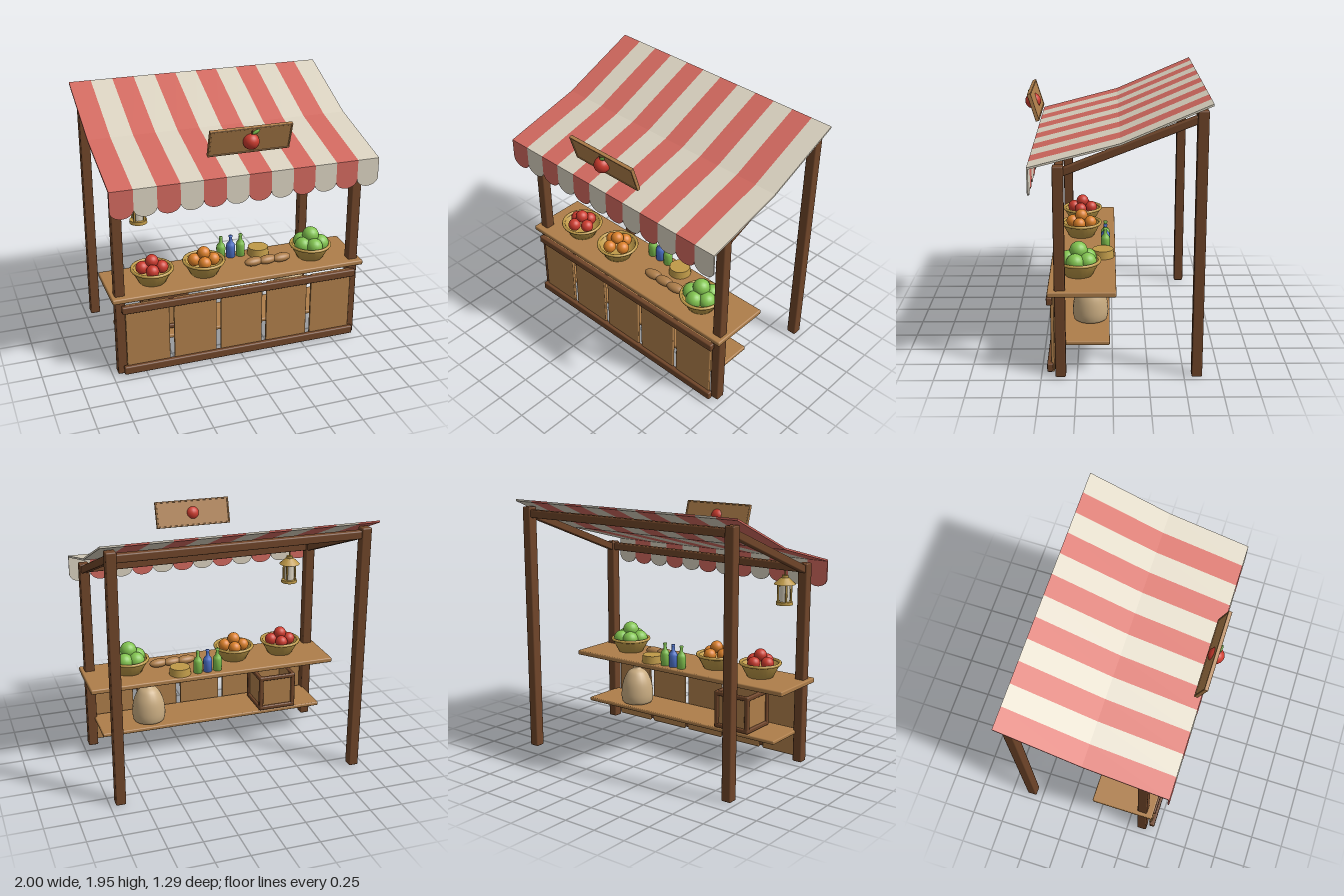
import * as THREE from 'three';
import { RoundedBoxGeometry } from 'three/addons/geometries/RoundedBoxGeometry.js';

const mat = (name, color) => Object.assign(new THREE.MeshStandardMaterial({ color }), { name });

export function createModel() {
  const root = new THREE.Group();
  root.name = 'marketStall';
  const darkWood = mat('darkWood', 0x6f4529);
  const wood = mat('lightWood', 0xae7e4a);
  const clothRed = mat('clothRed', 0xd2695f);
  const cream = mat('cream', 0xdad2c0);
  const red = mat('fruitRed', 0xcc3b2e);
  const orange = mat('orange', 0xdb8029);
  const green = mat('green', 0x82c450);
  const blue = mat('bottleBlue', 0x4f74cc);
  const gold = mat('strawGold', 0xbf9a48);
  const burlap = mat('burlap', 0xc8ab80);

  const add = (name, geo, material, x, y, z, parent = root) => {
    const m = new THREE.Mesh(geo, material);
    m.name = name;
    m.position.set(x, y, z);
    parent.add(m);
    return m;
  };
  const group = (name, x, y, z) => {
    const g = new THREE.Group();
    g.name = name;
    g.position.set(x, y, z);
    root.add(g);
    return g;
  };
  // softly bevelled timber
  const beam = (name, w, h, d, material, x, y, z, parent) =>
    add(name, new RoundedBoxGeometry(w, h, d, 2, Math.min(0.01, Math.min(w, h, d) * 0.3)), material, x, y, z, parent);
  const ball = (r) => new THREE.SphereGeometry(r, 20, 14);
  const lathe = (pts, n = 24) => new THREE.LatheGeometry(pts.map(([r, y]) => new THREE.Vector2(r, y)), n);

  // posts, rafters and cross beams
  for (const s of [-1, 1]) {
    beam('frontPost', 0.075, 1.525, 0.075, darkWood, s * 0.92, 0.768, 0.365);
    beam('backPost', 0.075, 1.895, 0.075, darkWood, s * 0.92, 0.953, -0.59);
    const rafter = beam('rafter', 0.055, 0.055, 0.97, darkWood, s * 0.92, 1.663, -0.11);
    rafter.rotation.x = Math.atan2(0.345, 0.88);
  }
  beam('frontBeam', 1.8, 0.06, 0.055, darkWood, 0, 1.49, 0.365);
  beam('backBeam', 1.8, 0.06, 0.055, darkWood, 0, 1.85, -0.59);

  // striped canopy with a sagging profile, and a scalloped valance
  const N = 12, W = 2 / N, T = 0.014;
  const profile = [[-0.565, 1.522], [0.05, 1.683], [0.65, 1.942]];
  const roofShape = new THREE.Shape([
    ...profile.map(([x, y]) => new THREE.Vector2(x, y)),
    ...profile.slice().reverse().map(([x, y]) => new THREE.Vector2(x, y + T)),
  ]);
  const roofGeo = new THREE.ExtrudeGeometry(roofShape, { depth: W, bevelEnabled: false });
  roofGeo.rotateY(Math.PI / 2);
  const flap = new THREE.Shape();
  flap.moveTo(0, 1.526);
  flap.lineTo(0, 1.39);
  flap.absellipse(W / 2, 1.39, W / 2, 0.062, Math.PI, 2 * Math.PI, false);
  flap.lineTo(W, 1.526);
  const flapGeo = new THREE.ExtrudeGeometry(flap, { depth: 0.01, bevelEnabled: false, curveSegments: 14 });
  for (let i = 0; i < N; i++) {
    const m = i % 2 ? cream : clothRed;
    add('canopyStripe', roofGeo, m, -1 + i * W, 0, 0);
    add('valanceScallop', flapGeo, m, -1 + i * W, 0, 0.555);
  }

  // counter, lower shelf, front boards and rails
  beam('counterTop', 1.97, 0.038, 0.475, wood, 0, 0.636, 0.2125);
  beam('lowerShelf', 1.8, 0.03, 0.36, wood, 0, 0.238, 0.2);
  for (let i = -2; i <= 2; i++)
    beam('frontBoard', 0.33, 0.575, 0.024, wood, i * 0.364, 0.302, 0.422);
  beam('topRail', 1.84, 0.058, 0.042, darkWood, 0, 0.56, 0.44);
  beam('bottomRail', 1.84, 0.064, 0.042, darkWood, 0, 0.058, 0.44);

  // fruit baskets
  const basketGeo = lathe([[0, 0], [0.1, 0], [0.152, 0.1], [0.14, 0.1], [0.095, 0.025], [0, 0.025]]);
  const rimGeo = new THREE.TorusGeometry(0.15, 0.012, 8, 28).rotateX(Math.PI / 2);
  const basket = (name, x, fruit, r, ring, n, turn) => {
    const g = group(name, x, 0.655, 0.24);
    add('bowl', basketGeo, gold, 0, 0, 0, g);
    add('rim', rimGeo, gold, 0, 0.104, 0, g);
    for (let i = 0; i < n; i++) {
      const a = turn + (i / n) * Math.PI * 2;
      add('fruit', ball(r), fruit, ring * Math.cos(a), 0.112, ring * Math.sin(a), g);
    }
    add('topFruit', ball(r), fruit, 0, 0.112 + r * 1.05, 0, g);
  };
  basket('appleBasket', -0.635, red, 0.049, 0.072, 4, 0.2);
  basket('orangeBasket', -0.235, orange, 0.049, 0.072, 4, 0.2);
  basket('greenFruitBasket', 0.63, green, 0.064, 0.078, 5, 0.3);

  // bottles
  const bottleGeo = lathe([[0, 0], [0.034, 0], [0.035, 0.09], [0.03, 0.11], [0.014, 0.13],
    [0.012, 0.165], [0.015, 0.167], [0.015, 0.178], [0, 0.178]], 16);
  [green, blue, green].forEach((m, i) => add('bottle', bottleGeo, m, -0.035 + i * 0.08, 0.655, 0.05));

  // cheese wheel and loaves
  add('cheeseWheel', new THREE.CylinderGeometry(0.078, 0.085, 0.06, 24), gold, 0.265, 0.685, 0.068);
  for (let i = 0; i < 3; i++) {
    const loaf = add('loaf', ball(1), wood, 0.162 + i * 0.112, 0.686, 0.25);
    loaf.scale.set(0.078, 0.033, 0.042);
    loaf.rotation.y = 0.15;
  }

  // slatted crate under the counter
  const crate = group('crate', -0.53, 0.405, 0.155);
  const H = 0.145;
  for (const s of [-1, 1]) {
    beam('sidePanel', 0.014, 0.26, 0.27, wood, s * 0.128, 0, 0, crate);
    beam('endPanel', 0.27, 0.26, 0.014, wood, 0, 0, s * 0.128, crate);
    for (const t of [-1, 1]) {
      beam('crateCorner', 0.034, 2 * H, 0.034, darkWood, s * 0.135, 0, t * 0.135, crate);
      beam('crateRailX', 0.3, 0.034, 0.03, darkWood, 0, s * 0.127, t * 0.138, crate);
      beam('crateRailZ', 0.03, 0.034, 0.3, darkWood, t * 0.138, s * 0.127, 0, crate);
    }
  }
  beam('crateBottom', 0.27, 0.016, 0.27, wood, 0, -0.13, 0, crate);

  // tied sack
  const sackCurve = new THREE.SplineCurve([[0, 0], [0.105, 0.003], [0.128, 0.04], [0.128, 0.11], [0.112, 0.19],
    [0.075, 0.26], [0.032, 0.292], [0.038, 0.318], [0.024, 0.336], [0, 0.338]].map(([r, y]) => new THREE.Vector2(r, y)));
  const sackPts = sackCurve.getPoints(36).map((p) => [Math.max(0, p.x), Math.max(0, p.y)]);
  add('sack', lathe(sackPts), burlap, 0.5, 0.253, 0.16);

  // hanging lantern
  const lantern = group('lantern', -0.755, 1.2, 0.365);
  const disc = (name, r1, r2, h, y, m = gold) =>
    add(name, new THREE.CylinderGeometry(r1, r2, h, 16), m, 0, y, 0, lantern);
  disc('lanternBase', 0.062, 0.064, 0.024, 0.012);
  disc('lanternGlass', 0.038, 0.038, 0.14, 0.09, cream);
  disc('lanternRoof', 0.03, 0.083, 0.05, 0.18);
  disc('lanternCap', 0.024, 0.024, 0.02, 0.212);
  disc('lanternHook', 0.006, 0.006, 0.06, 0.245);
  for (let i = 0; i < 4; i++) {
    const a = Math.PI / 4 + (i * Math.PI) / 2;
    add('lanternBar', new THREE.CylinderGeometry(0.008, 0.008, 0.14, 8), gold,
      0.05 * Math.cos(a), 0.09, 0.05 * Math.sin(a), lantern);
  }

  // tilted sign with a carved apple
  const sign = group('sign', 0, 1.792, 0.562);
  sign.rotation.x = 0.3;
  beam('signBoard', 0.58, 0.19, 0.02, wood, 0, 0, 0, sign);
  for (const s of [-1, 1]) {
    beam('signEdge', 0.6, 0.012, 0.028, wood, 0, s * 0.097, 0, sign);
    beam('signEnd', 0.012, 0.2, 0.028, wood, s * 0.294, 0, 0, sign);
  }
  add('signApple', ball(0.058), red, 0, 0, 0.022, sign);
  add('appleStem', new THREE.CylinderGeometry(0.005, 0.005, 0.035, 8), darkWood, 0, 0.066, 0.02, sign);
  const leaf = add('appleLeaf', ball(1), green, 0.027, 0.074, 0.022, sign);
  leaf.scale.set(0.032, 0.013, 0.01);
  leaf.rotation.z = 0.6;

  return root;
}
